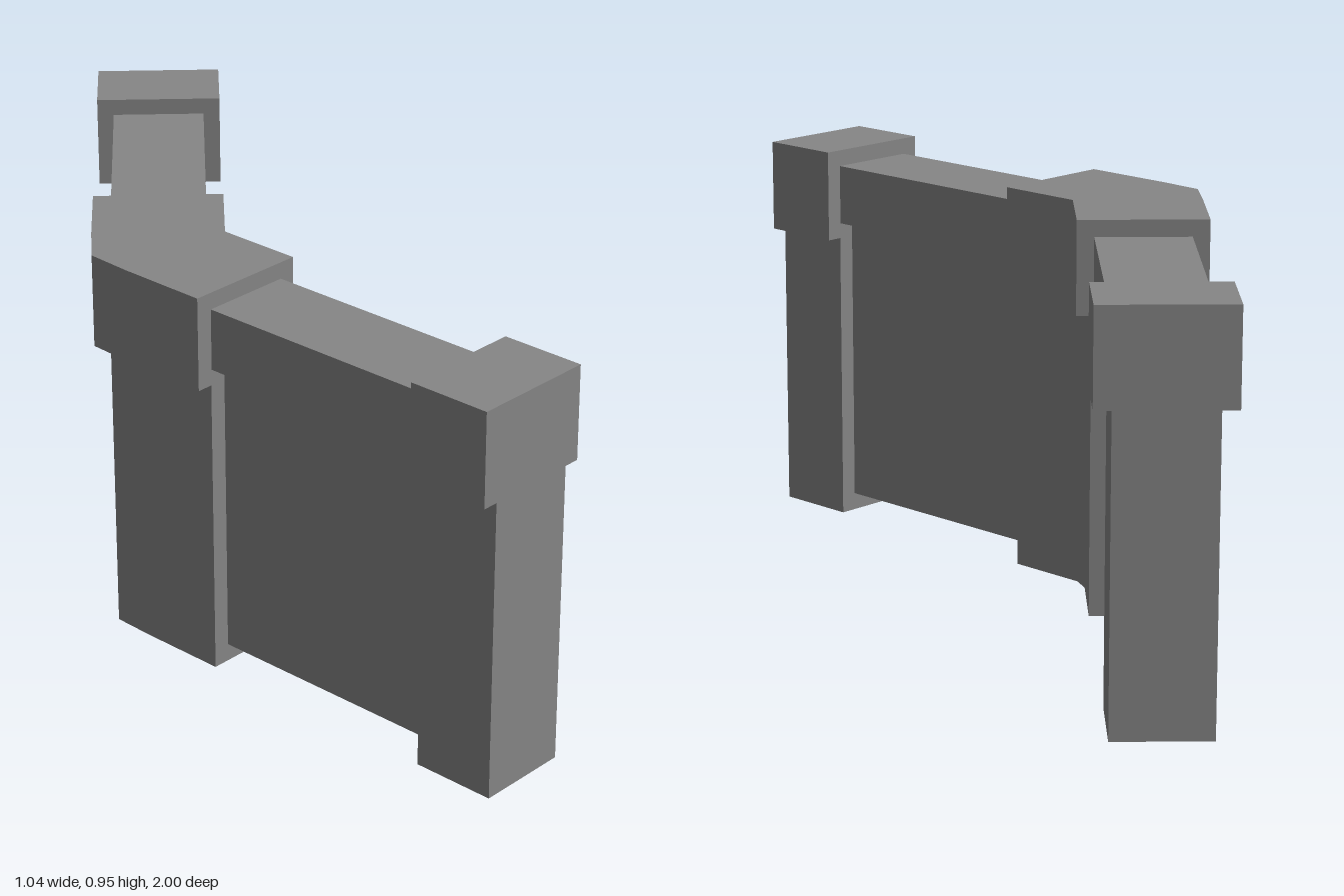
import * as THREE from 'three';

const material = new THREE.MeshStandardMaterial({ color: 0x868686, flatShading: true });

const CAP_BOTTOM = 0.725, TOP = 0.95;
const RAIL_BOTTOM = 0.763, RAIL_TOP = 0.91, PANEL_BOTTOM = 0.043;
const WALL_LENGTH = 0.62, POST_DEPTH = 0.205, BURY = 0.02;

// Box given by width, height range and z range
function block(name, width, y0, y1, z0, z1) {
  const geometry = new THREE.BoxGeometry(width, y1 - y0, z1 - z0);
  geometry.translate(0, (y0 + y1) / 2, (z0 + z1) / 2);
  const mesh = new THREE.Mesh(geometry, material);
  mesh.name = name;
  return mesh;
}

// Prism standing on a floor-plan outline of [x, z] points
function prism(name, plan, y0, y1) {
  const shape = new THREE.Shape(plan.map(([x, z]) => new THREE.Vector2(x, -z)));
  const geometry = new THREE.ExtrudeGeometry(shape, { depth: y1 - y0, bevelEnabled: false });
  geometry.rotateX(-Math.PI / 2);
  geometry.translate(0, y0, 0);
  const mesh = new THREE.Mesh(geometry, material);
  mesh.name = name;
  return mesh;
}

// One wall run: recessed panel, top rail and capped end post, running along local +z
function wallRun(name, x, z, angle) {
  const run = new THREE.Group();
  run.name = name;
  const end = WALL_LENGTH + POST_DEPTH;
  run.add(
    block('panel', 0.145, PANEL_BOTTOM, RAIL_BOTTOM, -BURY, WALL_LENGTH + BURY),
    block('topRail', 0.225, RAIL_BOTTOM, RAIL_TOP, -BURY, WALL_LENGTH + BURY),
    block('endPost', 0.228, 0, CAP_BOTTOM, WALL_LENGTH, end),
    block('endPostCap', 0.306, CAP_BOTTOM, TOP, WALL_LENGTH, end)
  );
  run.position.set(x, 0, z);
  run.rotation.y = angle;
  return run;
}

export function createModel() {
  const model = new THREE.Group();
  model.name = 'angledWall';

  // Bent post joining the two runs
  const corner = new THREE.Group();
  corner.name = 'cornerPost';
  corner.add(
    prism('cornerShaft', [
      [-0.48, -0.175], [-0.48, 0.04], [-0.48, 0.155], [-0.41, 0.23], [-0.254, 0.387],
      [-0.093, 0.226], [-0.235, 0.085], [-0.25, 0.035], [-0.25, -0.175]
    ], 0, CAP_BOTTOM),
    prism('cornerCap', [
      [-0.52, -0.175], [-0.52, 0.045], [-0.517, 0.17], [-0.44, 0.255], [-0.282, 0.415],
      [-0.065, 0.198], [-0.215, 0.047], [-0.215, -0.175]
    ], CAP_BOTTOM, TOP)
  );

  model.add(
    corner,
    wallRun('straightWall', -0.3675, -0.175, Math.PI),
    wallRun('diagonalWall', -0.173, 0.306, Math.PI / 4)
  );
  return model;
}
